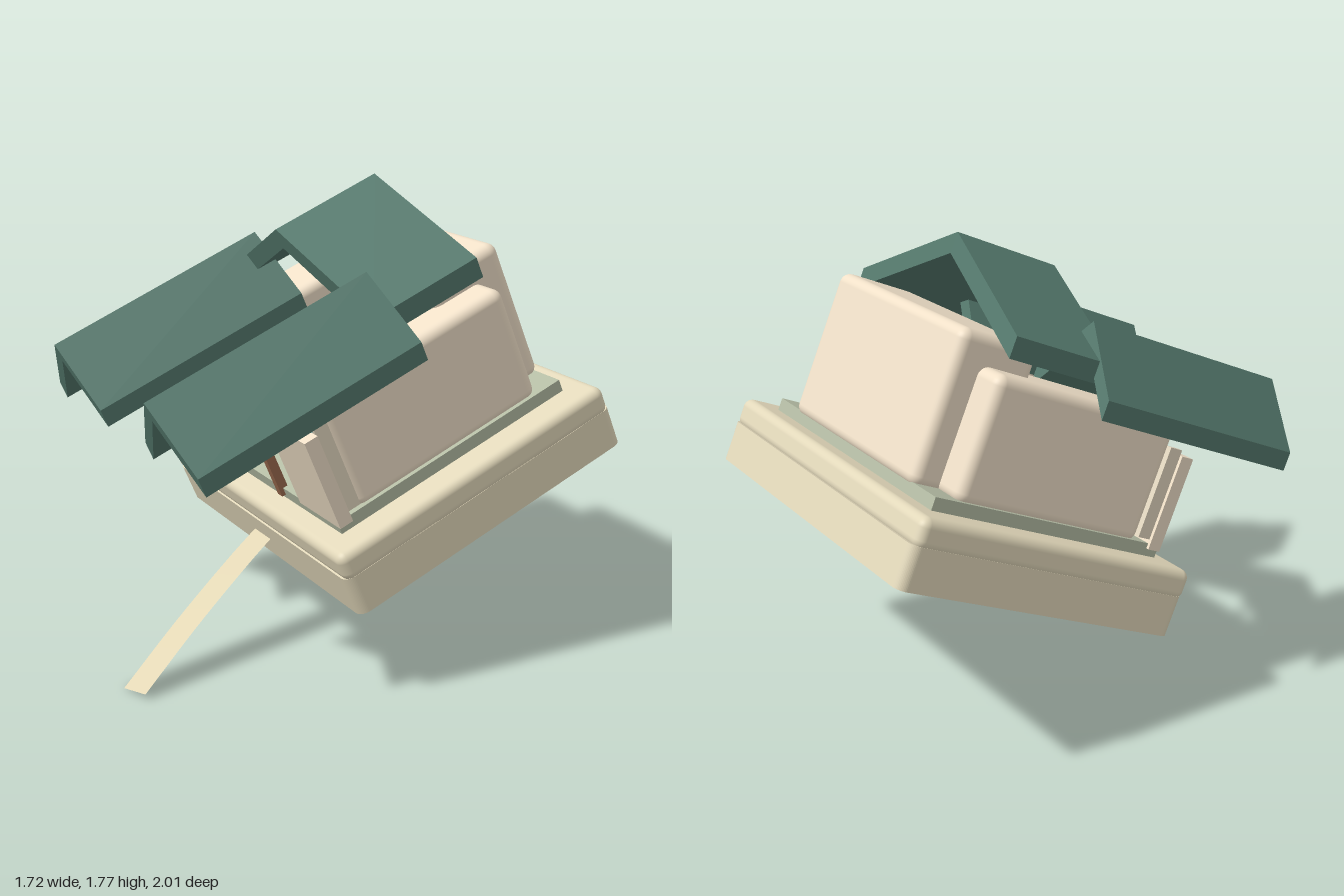
import * as THREE from 'three';
import { RoundedBoxGeometry } from 'three/addons/geometries/RoundedBoxGeometry.js';

const paint = (color, extra = {}) => new THREE.MeshStandardMaterial({ color, ...extra });
const stone = paint(0xe2d8ba), wall = paint(0xf0e0c8), floorTone = paint(0xb4bca4);
const roofTone = paint(0x54786c), wood = paint(0x9a6a4e), glass = paint(0x4a8c92);
const red = paint(0xc47c64), leaf = paint(0x8cb492), trim = paint(0xe4d8c0);
const sand = paint(0xe2d6b4, { side: THREE.DoubleSide });

function add(parent, name, geometry, material, x = 0, y = 0, z = 0) {
  const mesh = new THREE.Mesh(geometry, material);
  mesh.name = name;
  mesh.position.set(x, y, z);
  parent.add(mesh);
  return mesh;
}

// Box given by its low and high limits on each axis, optionally rounded
function block(parent, name, material, [x0, x1], [y0, y1], [z0, z1], radius = 0) {
  const size = [x1 - x0, y1 - y0, z1 - z0];
  const geometry = radius ? new RoundedBoxGeometry(...size, 4, radius) : new THREE.BoxGeometry(...size);
  return add(parent, name, geometry, material, (x0 + x1) / 2, (y0 + y1) / 2, (z0 + z1) / 2);
}

// Gable roof: a thick chevron extruded along z
function gableRoof(parent, name, ridge, half, drop, thick, z0, z1) {
  const s = new THREE.Shape([
    [0, 0], [-half, -drop], [-half, -drop - thick], [0, -thick], [half, -drop - thick], [half, -drop],
  ].map(p => new THREE.Vector2(...p)));
  const geometry = new THREE.ExtrudeGeometry(s, { depth: z1 - z0, bevelEnabled: false });
  return add(parent, name, geometry, roofTone, 0, ridge, z0);
}

// Rectangle with rounded corners, centred on the origin
function roundedRect(target, w, d, r) {
  for (const [sx, sy, start] of [[1, 1, 0], [-1, 1, 0.5], [-1, -1, 1], [1, -1, 1.5]])
    target.absarc(sx * (w - r), sy * (d - r), r, start * Math.PI, (start + 0.5) * Math.PI);
  return target;
}

// Hollow skirt: a thin rounded frame, open at the bottom
function skirt(w, d, height, thick) {
  const s = roundedRect(new THREE.Shape(), w, d, 0.04);
  s.holes.push(roundedRect(new THREE.Path(), w - thick, d - thick, 0.04 - thick));
  return new THREE.ExtrudeGeometry(s, { depth: height, bevelEnabled: false, curveSegments: 6 })
    .rotateX(-Math.PI / 2);
}

// Thin curved strip following a path
function ribbon(points, side, steps) {
  const curve = new THREE.CatmullRomCurve3(points);
  const pos = [], index = [];
  for (let i = 0; i <= steps; i++) {
    const p = curve.getPoint(i / steps);
    pos.push(...p.clone().sub(side).toArray(), ...p.clone().add(side).toArray());
    if (i < steps) {
      const a = i * 2;
      index.push(a, a + 2, a + 1, a + 1, a + 2, a + 3);
    }
  }
  const g = new THREE.BufferGeometry();
  g.setAttribute('position', new THREE.Float32BufferAttribute(pos, 3));
  g.setIndex(index);
  g.computeVertexNormals();
  return g;
}

export function createModel() {
  const model = new THREE.Group();
  model.name = 'courtyardHouse';

  // The whole house is tipped forward and turned
  const house = new THREE.Group();
  house.name = 'tiltedHouse';
  house.rotation.set(0.4, -0.209, 0, 'YXZ');
  house.position.set(0.036, 0.563, -0.304);
  model.add(house);

  // Plinth on a hollow skirt, and courtyard floor
  add(house, 'lowerPlinth', skirt(0.725, 0.612, 0.157, 0.012), stone, 0, 0, -0.008);
  block(house, 'upperPlinth', stone, [-0.73, 0.73], [0.142, 0.257], [-0.612, 0.602], 0.035);
  block(house, 'courtyardFloor', floorTone, [-0.605, 0.605], [0.25, 0.305], [-0.515, 0.508]);

  // Rear hall with door
  block(house, 'hall', wall, [-0.465, 0.465], [0.29, 0.862], [-0.53, -0.195], 0.04);
  gableRoof(house, 'hallRoof', 1.147, 0.555, 0.257, 0.08, -0.382, 0.075);
  block(house, 'door', wood, [-0.132, 0.13], [0.305, 0.685], [-0.21, -0.17]);

  for (const s of [-1, 1]) {
    // Side wing with roof
    const wing = new THREE.Group();
    wing.name = s < 0 ? 'rightWing' : 'leftWing';
    wing.position.x = s * 0.447;
    house.add(wing);
    const inOut = (a, b) => [Math.min(s * a, s * b), Math.max(s * a, s * b)];
    block(wing, 'wingWalls', wall, inOut(-0.14, 0.147), [0.29, 0.755], [-0.42, 0.41], 0.04);
    gableRoof(wing, 'wingRoof', 1.012, 0.226, 0.234, 0.073, -0.01, 0.916);
    block(wing, 'frontPanel', wall, inOut(-0.137, 0.17), [0.285, 0.65], [0.455, 0.51]);

    // Front window behind the panel
    block(wing, 'frontGlass', glass, inOut(-0.12, 0.15), [0.36, 0.61], [0.42, 0.437]);
    for (const x of [-0.115, 0.145])
      block(wing, 'frontFramePost', trim, inOut(x - 0.012, x + 0.012), [0.32, 0.67], [0.4, 0.455]);

    // Hall window with frame
    const win = new THREE.Group();
    win.name = 'hallWindow';
    win.position.set(s * 0.285, 0.585, -0.19);
    house.add(win);
    add(win, 'pane', new THREE.BoxGeometry(0.17, 0.21, 0.02), glass);
    for (const e of [-1, 1]) {
      add(win, 'frameSide', new THREE.BoxGeometry(0.022, 0.235, 0.04), trim, e * 0.088, 0, 0.005);
      add(win, 'frameRail', new THREE.BoxGeometry(0.2, 0.022, 0.05), trim, 0, e * 0.11, 0.005);
    }
    add(win, 'mullion', new THREE.BoxGeometry(0.012, 0.21, 0.03), trim);

    // Gate post and hanging lantern
    block(house, 'gatePost', wood, [s * 0.165 - 0.018, s * 0.165 + 0.018], [0.275, 0.645], [0.488, 0.524]);
    const lantern = add(house, 'lantern', new THREE.SphereGeometry(0.042, 24, 16), red, s * 0.105, 0.583, 0.562);
    lantern.scale.y = 1.2;
    add(house, 'lanternCord', new THREE.CylinderGeometry(0.004, 0.004, 0.05, 8), wood, s * 0.105, 0.645, 0.556);
  }
  block(house, 'gateBeam', roofTone, [-0.2, 0.2], [0.642, 0.687], [0.435, 0.555]);

  // Stepping slabs through the courtyard
  for (let i = 0; i < 4; i++) {
    const z = 0.31 - i * 0.145;
    block(house, 'steppingSlab', trim, [-0.08, 0.08], [0.3, 0.319], [z - 0.05, z + 0.05]);
  }

  // Rounded tree
  const tree = add(house, 'tree', new THREE.SphereGeometry(0.12, 32, 20), leaf, -0.28, 0.475, 0.04);
  tree.scale.y = 1.38;

  // Path running from the plinth down to the ground
  const path = [[-0.085, 0.42, 0.24], [-0.055, 0.342, 0.4], [-0.002, 0.182, 0.69], [0.056, 0.011, 0.975]]
    .map(p => new THREE.Vector3(...p));
  add(model, 'groundPath', ribbon(path, new THREE.Vector3(0.063, 0.01, -0.004), 16), sand);

  return model;
}
